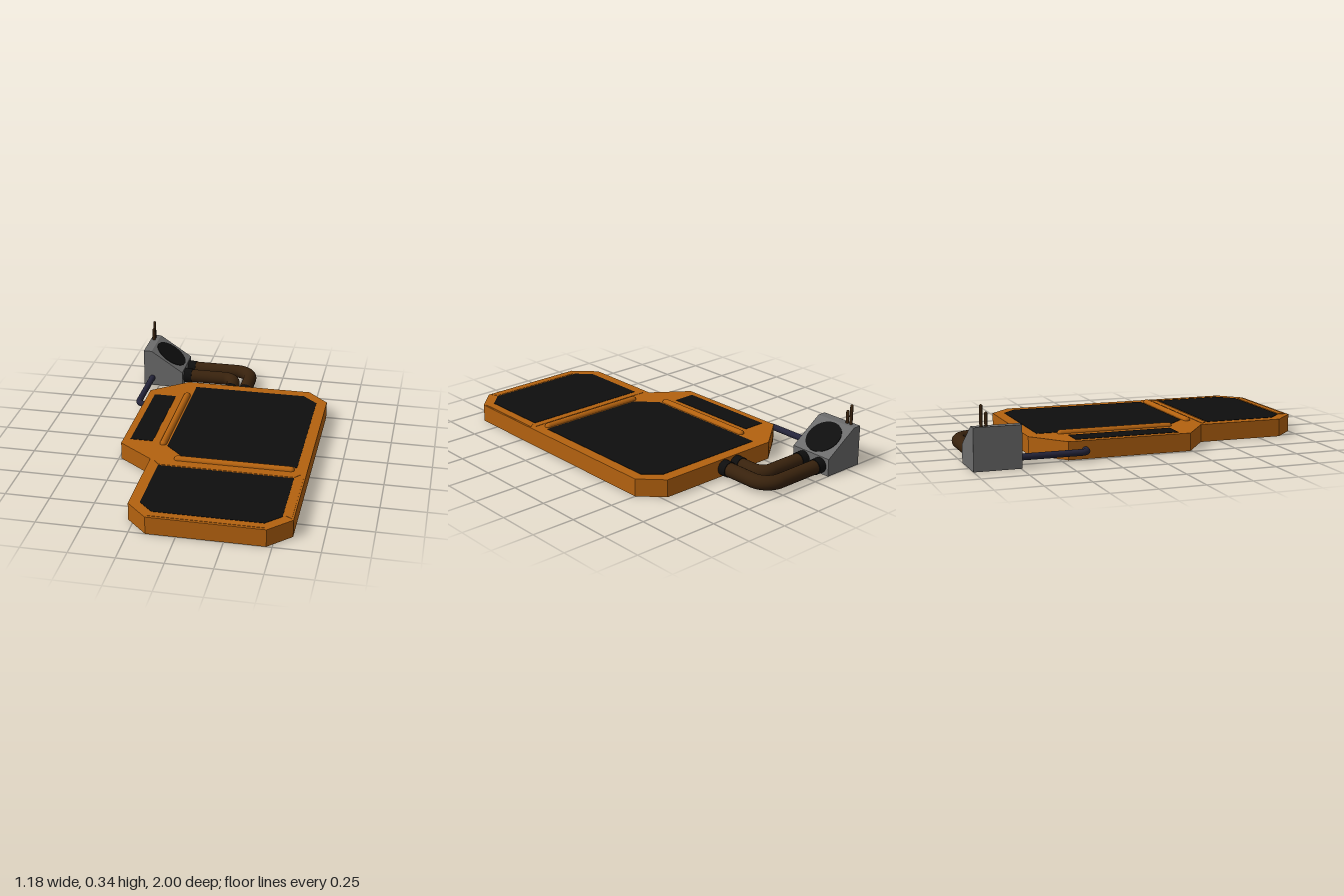
import * as THREE from 'three';

const mat = (name, color) => {
  const m = new THREE.MeshStandardMaterial({ color });
  m.name = name;
  return m;
};

export function createModel() {
  const root = new THREE.Group();
  const orange = mat('orange', 0xb4620f);
  const black = mat('black', 0x0e0e0e);
  const grey = mat('grey', 0x6c6c6c);
  const brown = mat('dark brown', 0x38220d);
  const navy = mat('navy', 0x24243a);

  const add = (name, geo, material, x = 0, y = 0, z = 0) => {
    const m = new THREE.Mesh(geo, material);
    m.name = name;
    m.position.set(x, y, z);
    root.add(m);
    return m;
  };
  const shapeOf = pts => new THREE.Shape(pts.map(p => new THREE.Vector2(...p)));

  // Horizontal slab from an (x, z) outline, with its top at the given height
  const slab = (name, pts, top, depth, material) => {
    const g = new THREE.ExtrudeGeometry(shapeOf(pts), { depth, bevelEnabled: false });
    g.rotateX(Math.PI / 2);
    return add(name, g, material, 0, top, 0);
  };

  // Deck
  const outline = [[-0.28, -0.62], [0.47, -0.62], [0.59, -0.5], [0.59, 0.88], [0.47, 1],
    [-0.16, 1], [-0.28, 0.88], [-0.28, 0.39], [-0.485, 0.24], [-0.485, -0.46]];
  slab('deck', outline, 0.1, 0.1, orange);

  // Dark panels set on the deck
  slab('mainPanel', [[-0.22, -0.555], [0.445, -0.555], [0.53, -0.475], [0.53, 0.335],
    [-0.11, 0.335], [-0.22, 0.225]], 0.102, 0.004, black);
  slab('frontPanel', [[-0.22, 0.455], [0.53, 0.455], [0.53, 0.86], [0.45, 0.94],
    [-0.14, 0.94], [-0.22, 0.86]], 0.102, 0.004, black);
  slab('sidePanel', [[-0.445, -0.405], [-0.315, -0.405], [-0.315, 0.185], [-0.445, 0.185]],
    0.102, 0.004, black);

  // Rim trims around the front panel
  slab('rearTrim', [[-0.25, 0.41], [0.56, 0.41], [0.53, 0.445], [-0.22, 0.445]], 0.102, 0.004, orange);
  slab('frontTrim', [[-0.13, 0.95], [0.44, 0.95], [0.46, 0.985], [-0.15, 0.985]], 0.102, 0.004, orange);
  slab('rightTrim', [[0.545, 0.45], [0.58, 0.425], [0.58, 0.87], [0.545, 0.85]], 0.102, 0.004, orange);

  // Oval faces on the chamfered corners
  for (const [i, height] of [[1, 0.04], [3, 0.04], [5, 0.04], [7, 0.04], [9, 0.04]]) {
    const a = outline[i], b = outline[(i + 1) % outline.length];
    const dx = b[0] - a[0], dz = b[1] - a[1], len = Math.hypot(dx, dz);
    const nx = dz / len, nz = -dx / len;
    const oval = add('cornerOval', new THREE.CircleGeometry(1, 32), orange,
      (a[0] + b[0]) / 2 + nx * 0.001, 0.05, (a[1] + b[1]) / 2 + nz * 0.001);
    oval.scale.set(Math.min(len * 0.4, 0.105), height, 1);
    oval.rotation.y = Math.atan2(nx, nz);
  }

  // Octagonal face on the front edge
  add('frontInset', new THREE.ShapeGeometry(shapeOf([[-0.125, 0.018], [0.435, 0.018], [0.458, 0.04],
    [0.458, 0.065], [0.435, 0.087], [-0.125, 0.087], [-0.148, 0.065], [-0.148, 0.04]])),
  orange, 0, 0, 1.001);

  // Rounded ridges beside the main panel
  const ridge = length => new THREE.CapsuleGeometry(0.02, length - 0.04, 8, 16);
  add('sideRidge', ridge(0.67), orange, -0.25, 0.1, -0.113).rotation.x = Math.PI / 2;
  add('frontRidge', ridge(0.67), orange, 0.185, 0.1, 0.365).rotation.z = Math.PI / 2;

  // Sloped housing behind the deck
  const housing = new THREE.ExtrudeGeometry(shapeOf([[-0.595, 0], [-0.35, 0], [-0.35, 0.1],
    [-0.545, 0.23], [-0.595, 0.23]]), { depth: 0.258, bevelEnabled: false });
  add('housing', housing, grey, 0, 0, -1);

  // Round grille lying on the slope
  const slope = Math.atan2(0.13, 0.195);
  const grille = add('grille', new THREE.CylinderGeometry(0.104, 0.104, 0.006, 40), black,
    -0.448, 0.1655, -0.871);
  grille.rotation.z = -slope;

  // Short rods on the housing
  for (const [z, top] of [[-0.952, 0.345], [-0.926, 0.305]]) {
    const h = top - 0.22;
    add('rod', new THREE.CapsuleGeometry(0.009, h - 0.018, 6, 12), brown, -0.574, 0.22 + h / 2, z);
  }

  // Pipe with one rounded bend between two straight runs
  const pipe = (name, start, corner, end, bend, radius, material) => {
    const [s, c, e] = [start, corner, end].map(p => new THREE.Vector3(p[0], 0.05, p[1]));
    const p = c.clone().add(s.clone().sub(c).setLength(bend));
    const q = c.clone().add(e.clone().sub(c).setLength(bend));
    // Cubic handles at 0.55 follow a quarter circle
    const path = new THREE.CurvePath();
    path.add(new THREE.LineCurve3(s, p));
    path.add(new THREE.CubicBezierCurve3(p, p.clone().lerp(c, 0.55), q.clone().lerp(c, 0.55), q));
    path.add(new THREE.LineCurve3(q, e));
    add(name, new THREE.TubeGeometry(path, 72, radius, 20), material);
  };
  const runs = [[-0.94, 0.063, 0.1], [-0.82, -0.027, 0.07]];
  for (const [z, x, bend] of runs) {
    pipe('hose', [-0.36, z], [x, z], [x, -0.61], bend, 0.04, brown);
    const collar = new THREE.CylinderGeometry(0.044, 0.044, 0.05, 24);
    add('housingCollar', collar, black, -0.327, 0.05, z).rotation.z = Math.PI / 2;
    add('deckCollar', collar, black, x, 0.05, -0.643).rotation.x = Math.PI / 2;
  }
  pipe('thinPipe', [-0.543, -0.76], [-0.543, -0.365], [-0.475, -0.365], 0.04, 0.018, navy);

  return root;
}
